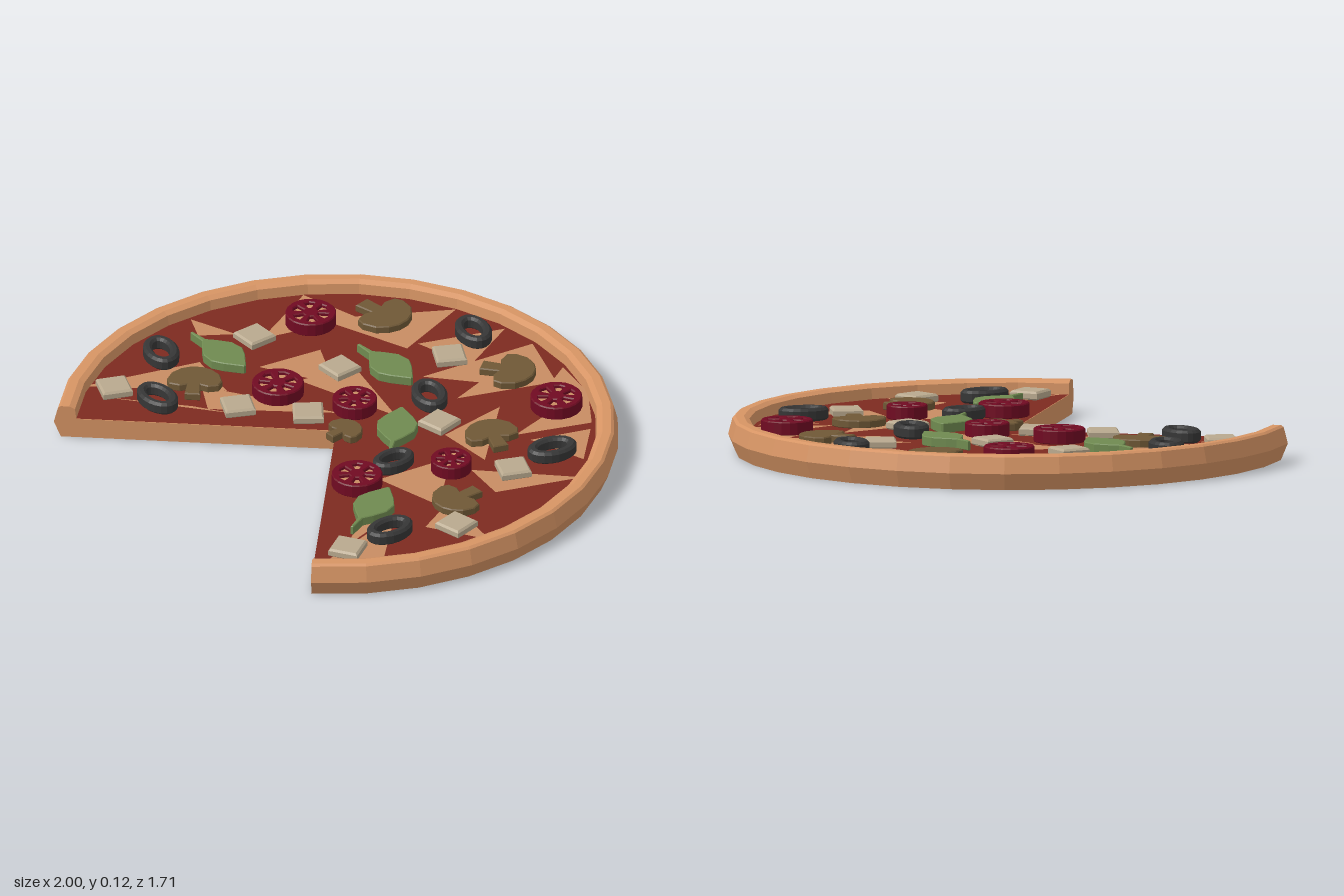
import * as THREE from 'three';

const BASE = 0.075;          // height of the sauce surface
const CENTRE_Z = 0.145;      // middle of the round base
const START = Math.PI / 4, SWEEP = Math.PI * 1.5;
const deg = THREE.MathUtils.degToRad;

const paint = (color, side = THREE.FrontSide) =>
  new THREE.MeshStandardMaterial({ color, side, flatShading: true });
const crustMat = paint(0xd69464, THREE.DoubleSide);
const sauceMat = paint(0x7d2a20);
const cheeseMat = paint(0xb9a98e);
const mushroomMat = paint(0x6f5836);
const oliveMat = paint(0x363636);
const leafMat = paint(0x6f8a50);
const tomatoMat = paint(0x700a22);
const seedMat = paint(0xc88c62);

const shapeOf = (pts) => new THREE.Shape(pts.map(([x, y]) => new THREE.Vector2(x, y)));

// Lies a shape flat and gives it height, with an optional chamfer
function slab(shape, height, bevel = 0, curveSegments = 8) {
  const g = new THREE.ExtrudeGeometry(shape, {
    depth: height - 2 * bevel, bevelEnabled: bevel > 0, bevelThickness: bevel,
    bevelSize: bevel, bevelOffset: -bevel, bevelSegments: 1, curveSegments,
  });
  return g.translate(0, 0, bevel).rotateX(-Math.PI / 2);
}

// Repeats one topping; each spot is [x, z, turn in degrees, scale]
function scatter(group, name, geometry, material, spots) {
  for (const [x, z, turn = 0, scale = 1] of spots) {
    const m = new THREE.Mesh(geometry, material);
    m.name = name;
    m.position.set(x, BASE, z);
    m.rotation.y = deg(turn);
    m.scale.set(scale, 1, scale);
    group.add(m);
  }
}

function createBase(group) {
  // Dough with raised rim, turned through three quarters of a circle
  const profile = [[0, 0], [0.975, 0], [1, 0.06], [0.985, 0.118], [0.975, 0.125],
    [0.945, 0.125], [0.925, 0.115], [0.92, BASE], [0, BASE]];
  const points = profile.map(([x, y]) => new THREE.Vector2(x, y));
  const dough = new THREE.Mesh(new THREE.LatheGeometry(points, 24, START, SWEEP), crustMat);
  dough.name = 'crust';
  dough.position.z = CENTRE_Z;
  group.add(dough);

  // Cut faces on both sides of the missing slice
  for (const phi of [START, START + SWEEP]) {
    const cut = new THREE.Mesh(new THREE.ShapeGeometry(shapeOf(profile)), crustMat);
    cut.name = 'cutFace';
    cut.position.z = CENTRE_Z;
    cut.rotation.y = phi - Math.PI / 2;
    group.add(cut);
  }

  // Sauce layer
  const layer = [new THREE.Vector2(0.922, BASE + 0.0015), new THREE.Vector2(0, BASE + 0.0015)];
  const sauce = new THREE.Mesh(new THREE.LatheGeometry(layer, 24, START, SWEEP), sauceMat);
  sauce.name = 'sauce';
  sauce.position.z = CENTRE_Z;
  group.add(sauce);

  // Bare triangular patches in the sauce (x, z corners in hundredths)
  const patches = [
    [-35, -70, -61, -29, -26, -40], [-14, -75, -26, -45, -3, -50], [0, -76, -8, -32, 14, -50],
    [0, -76, 25, -66, 11, -32], [19, -74, 38, -70, 30, -53], [35, -72, 54, -58, 43, -32],
    [57, -55, 71, -40, 49, -34], [25, -40, 49, -13, 27, -13], [80, -32, 51, -5, 68, -2],
    [-77, -35, -53, -40, -64, -5], [-45, -16, -24, -5, -50, 8], [-90, 6, -72, 0, -80, 11],
    [-29, -18, 6, -8, -34, 3], [-8, 6, -40, 40, -53, 32], [-66, 22, -45, 27, -80, 64],
    [-45, 43, -32, 35, -71, 64], [40, -5, 62, 19, 35, 24], [62, 14, 91, 20, 70, 32],
    [57, 35, 76, 56, 66, 78], [40, 27, 62, 62, 57, 40],
  ].map((p) => shapeOf([0, 2, 4].map((i) => [p[i] / 100, -p[i + 1] / 100])));
  const bare = new THREE.Mesh(new THREE.ShapeGeometry(patches).rotateX(-Math.PI / 2), seedMat);
  bare.name = 'barePatches';
  bare.position.y = BASE + 0.003;
  group.add(bare);
}

function tomatoGeometry() {
  // Round slice with six seed chambers
  const s = new THREE.Shape().absarc(0, 0, 0.092, 0, Math.PI * 2);
  for (let i = 0; i < 6; i++) {
    const polar = (r, a) => [r * Math.cos(a), r * Math.sin(a)];
    const a = (i * Math.PI) / 3;
    s.holes.push(shapeOf([polar(0.03, a - 0.2), polar(0.064, a - 0.28), polar(0.068, a),
      polar(0.064, a + 0.28), polar(0.03, a + 0.2)]));
  }
  return slab(s, 0.05, 0.004, 10);
}

function oliveGeometry() {
  const s = new THREE.Shape().absellipse(0, 0, 0.091, 0.062, 0, Math.PI * 2);
  s.holes.push(new THREE.Path().absellipse(0, 0, 0.056, 0.03, 0, Math.PI * 2));
  return slab(s, 0.047, 0.009, 10);
}

function mushroomGeometry() {
  // Domed cap above, stem below
  const half = [[0.028, -0.09], [0.024, -0.025], [0.05, -0.035], [0.088, -0.025],
    [0.098, 0.005], [0.085, 0.05], [0.055, 0.08], [0.02, 0.095]];
  const mirrored = half.map(([x, y]) => [-x, y]).reverse();
  return slab(shapeOf([...half, ...mirrored]), 0.03, 0.004);
}

function leafGeometry() {
  // Tip at +x, thin stalk at -x
  const upper = [[0.12, 0.005], [0.06, 0.05], [0.02, 0.071], [-0.03, 0.066],
    [-0.075, 0.035], [-0.105, 0.009], [-0.175, 0.005]];
  const lower = upper.map(([x, y]) => [x, -y]).reverse();
  return slab(shapeOf([...upper, ...lower]), 0.036, 0.003);
}

export function createModel() {
  const pizza = new THREE.Group();
  pizza.name = 'pizza';
  createBase(pizza);

  const tomatoes = [[0.375, -0.555, 10], [-0.61, -0.25, 25, 0.98], [-0.325, 0.14, 0],
    [-0.07, 0, 15, 0.86], [0.46, 0, 5, 0.79], [0.325, 0.32, 20, 0.98]];
  scatter(pizza, 'tomatoSlice', tomatoGeometry(), tomatoMat, tomatoes);
  const seeds = new THREE.CylinderGeometry(0.072, 0.072, 0.03, 20).translate(0, 0.022, 0);
  scatter(pizza, 'tomatoSeeds', seeds, seedMat, tomatoes);

  scatter(pizza, 'oliveRing', oliveGeometry(), oliveMat, [
    [-0.17, -0.63, -20], [0.615, -0.335, 75], [0.06, -0.235, -25], [0.315, 0.145, 88, 0.9],
    [-0.77, 0.305, -25], [-0.545, 0.51, -5], [0.66, 0.45, 88]]);

  scatter(pizza, 'mushroomSlice', mushroomGeometry(), mushroomMat, [
    [-0.475, -0.465, -82, 1.1], [0.1, -0.56, -55, 1.05], [0.4, -0.24, 70],
    [0.65, 0.125, 180, 0.97], [-0.545, 0.34, 45], [0.04, 0.145, 0, 0.7]]);

  scatter(pizza, 'leaf', leafGeometry(), leafMat, [
    [-0.18, -0.255, 0], [0.15, -0.01, 132, 1.02], [-0.62, 0.145, 0], [0.5, 0.39, 114]]);

  const cube = slab(shapeOf([[-0.054, -0.054], [0.054, -0.054], [0.054, 0.054], [-0.054, 0.054]]), 0.032, 0.007);
  scatter(pizza, 'cheeseCube', cube, cheeseMat, [
    [-0.11, -0.47, -30], [0.21, -0.155, 10], [0.615, -0.155, -25], [-0.295, -0.12, 0],
    [-0.65, -0.025, -2], [-0.135, 0.16, -38], [-0.33, 0.32, -28], [-0.705, 0.575, -25],
    [0.775, 0.24, 10], [0.65, 0.635, 30]]);

  return pizza;
}
